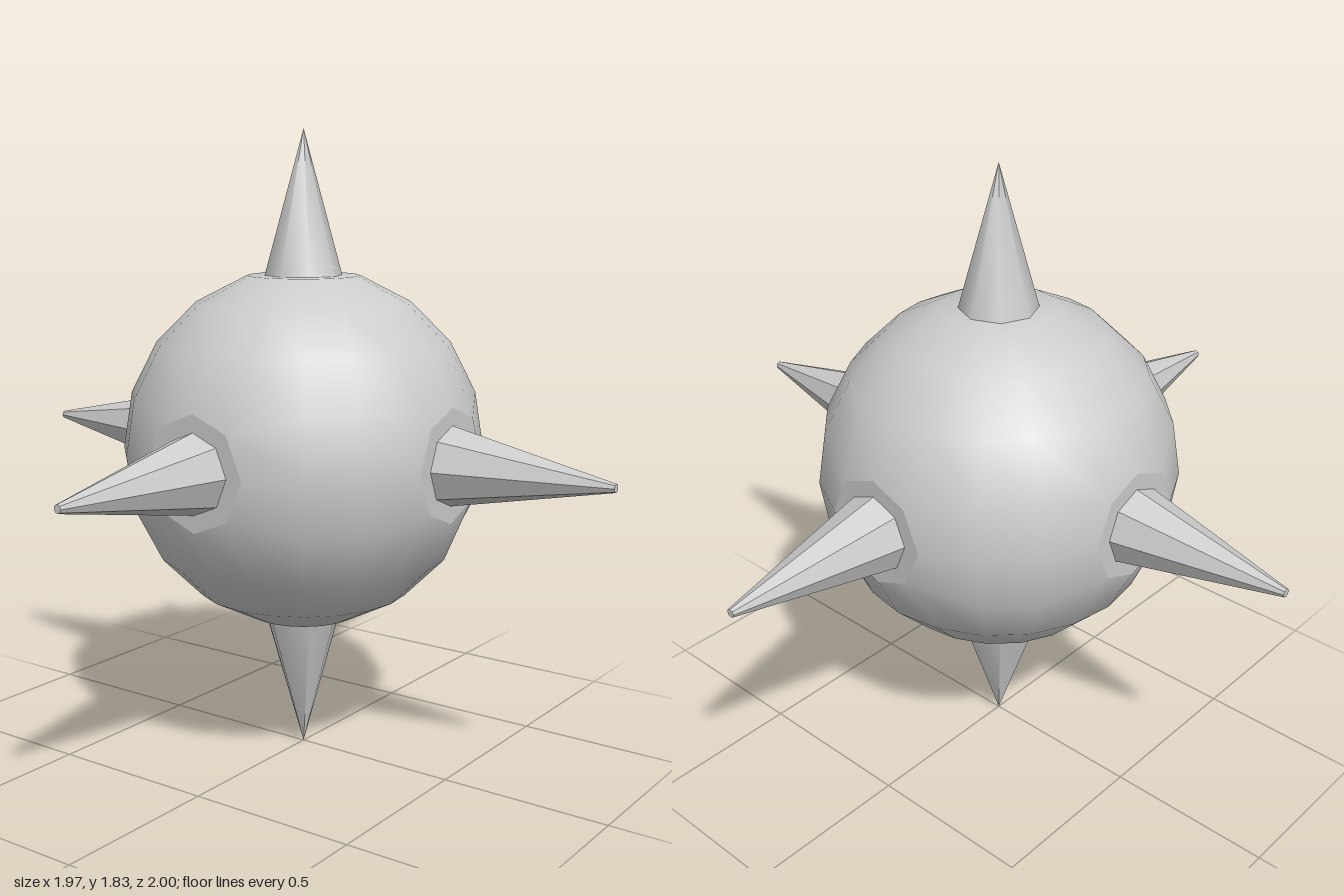
import * as THREE from 'three';

const CENTER_Y = 0.914;
const R = 0.527;
const STEP = Math.PI / 10;
const FLAT = R * Math.cos(STEP); // distance of the flattened patches
const PATCH = R * Math.sin(STEP); // radius of the flattened patches

// Smooth ball whose vertices around each axis are pulled onto a flat patch
function ballGeometry() {
  const geo = new THREE.SphereGeometry(R, 20, 10).toNonIndexed();
  const pos = geo.attributes.position;
  const nor = geo.attributes.normal;
  const v = new THREE.Vector3();
  const onPatch = [];
  for (let i = 0; i < pos.count; i++) {
    v.fromBufferAttribute(pos, i);
    onPatch[i] = '';
    if (Math.abs(v.y) > FLAT + 0.01) v.y = Math.sign(v.y) * FLAT;
    for (const [axis, other] of [['x', 'z'], ['z', 'x']]) {
      if (Math.abs(v[axis]) < R * 0.89) continue;
      // the ring around the patch becomes a regular octagon
      const d = Math.hypot(v.y, v[other]);
      const scale = d > 0.01 ? PATCH / d : 0;
      v[axis] = Math.sign(v[axis]) * FLAT;
      v.y *= scale;
      v[other] *= scale;
      onPatch[i] = axis;
    }
    pos.setXYZ(i, v.x, v.y, v.z);
    v.normalize();
    nor.setXYZ(i, v.x, v.y, v.z);
  }
  // hard normals on the side patches
  for (let i = 0; i < pos.count; i += 3) {
    const a = onPatch[i];
    if (!a || onPatch[i + 1] !== a || onPatch[i + 2] !== a) continue;
    for (let k = i; k < i + 3; k++) {
      const s = Math.sign(a === 'x' ? pos.getX(k) : pos.getZ(k));
      nor.setXYZ(k, a === 'x' ? s : 0, 0, a === 'z' ? s : 0);
    }
  }
  return geo;
}

export function createModel() {
  const model = new THREE.Group();
  const smooth = new THREE.MeshStandardMaterial({ color: 0xcccccc, side: THREE.DoubleSide });
  const faceted = new THREE.MeshStandardMaterial({ color: 0xcccccc, flatShading: true });

  const add = (name, geo, mat) => {
    const mesh = new THREE.Mesh(geo, mat);
    mesh.name = name;
    mesh.position.y = CENTER_Y;
    model.add(mesh);
    return mesh;
  };

  add('ball', ballGeometry(), smooth);

  // Blunt octagonal spikes around the sides
  const sides = [['frontSpike', 0, 1], ['leftSpike', Math.PI / 2, 0.983],
    ['backSpike', Math.PI, 1], ['rightSpike', -Math.PI / 2, 0.983]];
  for (const [name, angle, reach] of sides) {
    const length = reach - 0.49;
    const geo = new THREE.CylinderGeometry(0.012, 0.115, length, 8);
    geo.translate(0, 0.49 + length / 2, 0).rotateX(Math.PI / 2);
    add(name, geo, faceted).rotation.y = angle;
  }

  // Pointed smooth spikes above and below
  const spikeLength = CENTER_Y - FLAT;
  const top = new THREE.ConeGeometry(0.113, spikeLength, 8, 1, true);
  top.translate(0, FLAT + spikeLength / 2, 0);
  add('topSpike', top, smooth);

  const bottom = new THREE.ConeGeometry(0.113, spikeLength, 8, 1, true);
  bottom.rotateX(Math.PI).translate(0, -FLAT - spikeLength / 2, 0);
  // the lower spike flares at its base towards the right, front and back
  const p = bottom.attributes.position;
  for (let i = 0; i < p.count; i++) {
    const x = p.getX(i), z = p.getZ(i);
    if (x < -0.1) p.setX(i, -0.155);
    if (Math.abs(z) > 0.1) p.setZ(i, Math.sign(z) * 0.155);
  }
  add('bottomSpike', bottom, smooth);

  return model;
}
